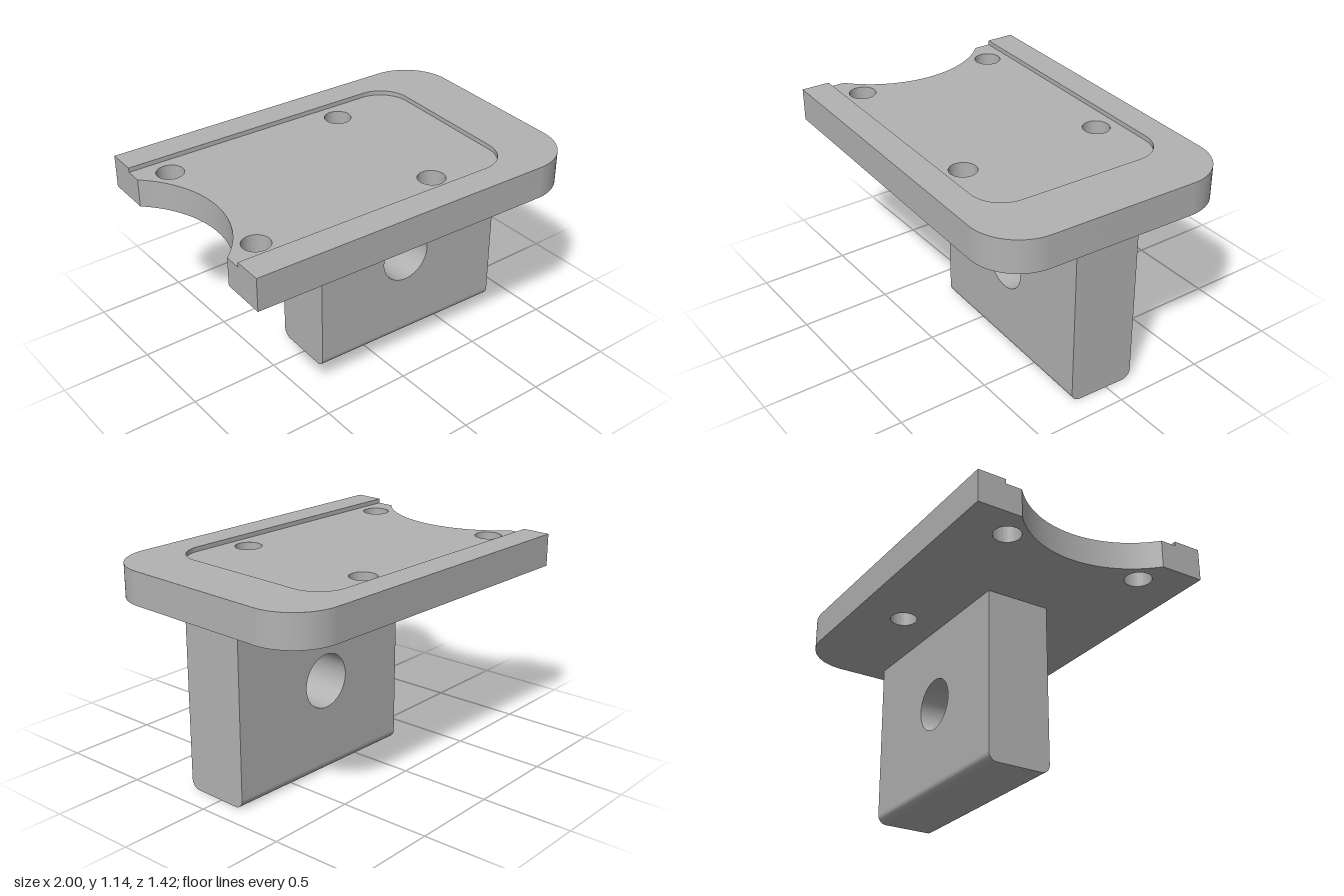
import * as THREE from 'three';
import { toCreasedNormals } from 'three/addons/utils/BufferGeometryUtils.js';

const LEFT = -0.979, RIGHT = 0.986, HALF = 0.683, TOP = 1.14, UNDER = 0.96, STEP = 0.025;

// Extrude with smooth curves and sharp edges
function extrude(shape, depth) {
  const geo = new THREE.ExtrudeGeometry(shape, { depth, bevelEnabled: false, curveSegments: 32 });
  return toCreasedNormals(geo, 0.5);
}

function circle(x, y, r) {
  return new THREE.Path().absarc(x, y, r, 0, Math.PI * 2, true);
}

// Straight left end, rounded right corners; ends at the front left corner
function roundedEnd(path, right, half, r) {
  path.moveTo(LEFT, -half);
  path.lineTo(right - r, -half);
  path.absarc(right - r, -half + r, r, -Math.PI / 2, 0, false);
  path.absarc(right - r, half - r, r, 0, Math.PI / 2, false);
  path.lineTo(LEFT, half);
  return path;
}

export function createModel() {
  const model = new THREE.Group();
  model.name = 'mountingBracket';
  const grey = new THREE.MeshStandardMaterial({ color: 0xb2b2b2 });
  grey.name = 'grey';

  const add = (name, geo) => {
    const mesh = new THREE.Mesh(geo, grey);
    mesh.name = name;
    model.add(mesh);
    return mesh;
  };

  // Plate with a scooped left end and four screw holes
  const plate = roundedEnd(new THREE.Shape(), RIGHT, HALF, 0.27);
  const scoopR = 0.578, scoopHalf = 0.433;
  const angle = Math.asin(scoopHalf / scoopR);
  plate.absarc(LEFT - scoopR * Math.cos(angle), 0, scoopR, angle, -angle, true);
  plate.closePath();
  for (const x of [-0.808, 0.23])
    for (const z of [-0.407, 0.407]) plate.holes.push(circle(x, z, 0.073));
  const plateGeo = extrude(plate, TOP - STEP - UNDER).rotateX(Math.PI / 2);
  add('plate', plateGeo).position.y = TOP - STEP;

  // Raised rim around the shallow recess, open on the left
  const rim = roundedEnd(new THREE.Shape(), RIGHT, HALF, 0.27);
  const inR = 0.66, inH = 0.526, r = 0.175;
  rim.lineTo(LEFT, inH);
  rim.lineTo(inR - r, inH);
  rim.absarc(inR - r, inH - r, r, Math.PI / 2, 0, true);
  rim.absarc(inR - r, -inH + r, r, 0, -Math.PI / 2, true);
  rim.lineTo(LEFT, -inH);
  rim.closePath();
  add('rim', extrude(rim, STEP).rotateX(Math.PI / 2)).position.y = TOP;

  // Hanging lug with a cross hole
  const x0 = -0.294, x1 = 0.874, t = 0.185, round = 0.05;
  const lug = new THREE.Shape();
  lug.moveTo(x0, round);
  lug.lineTo(x1, round);
  lug.lineTo(x1, UNDER);
  lug.lineTo(x0, UNDER);
  lug.closePath();
  lug.holes.push(circle(0.26, 0.51, 0.147));
  add('lug', extrude(lug, t * 2)).position.z = -t;

  // Rounded lower edge of the lug, run along x
  const foot = new THREE.Shape();
  foot.moveTo(-t, round);
  foot.absarc(-t + round, round, round, Math.PI, Math.PI * 1.5, false);
  foot.absarc(t - round, round, round, Math.PI * 1.5, Math.PI * 2, false);
  foot.closePath();
  add('lugFoot', extrude(foot, x1 - x0).rotateY(Math.PI / 2)).position.x = x0;

  // The whole bracket sits slightly turned
  model.rotation.y = -0.032;
  model.position.z = 0.003;
  return model;
}
